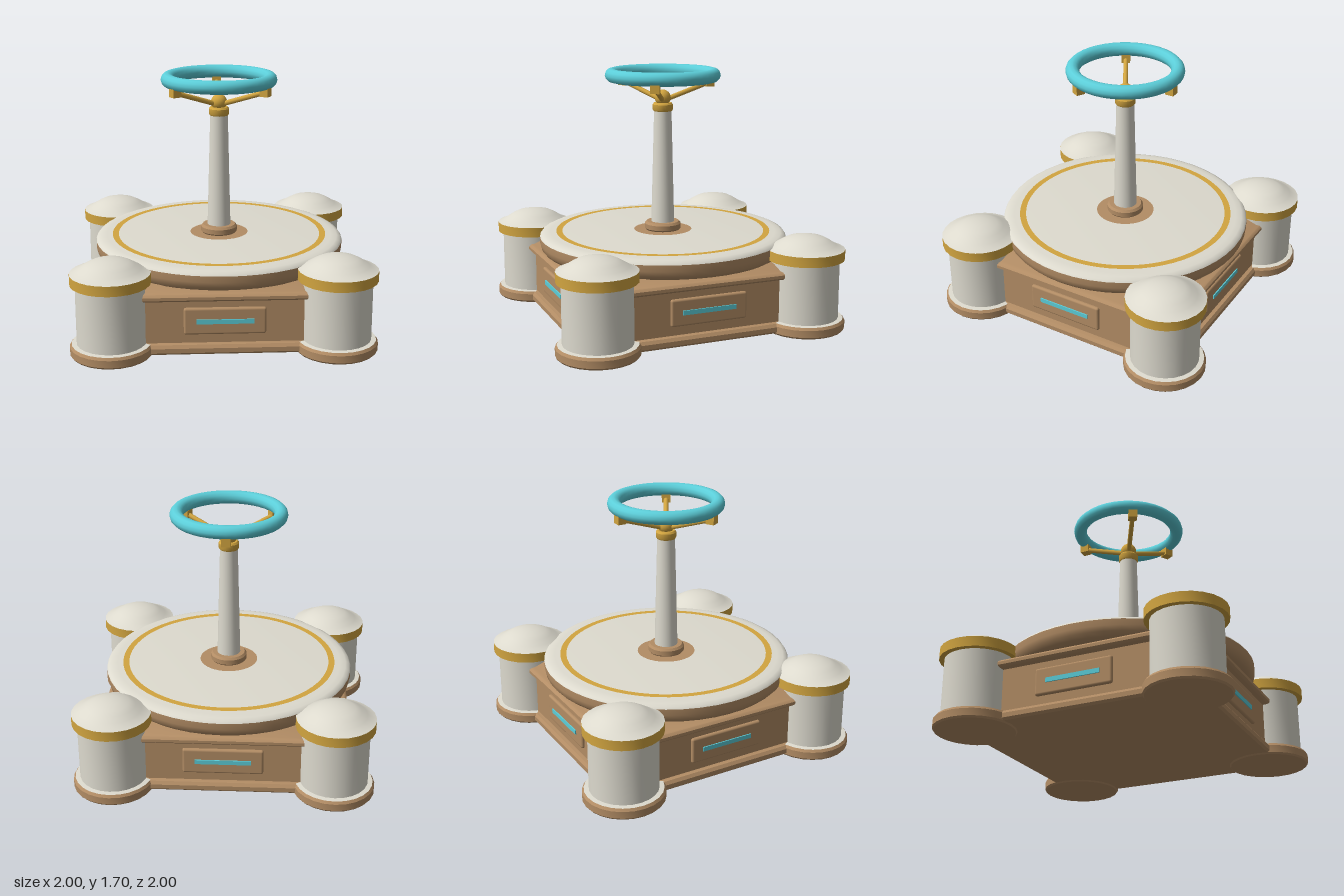
import * as THREE from 'three';
import { toCreasedNormals } from 'three/addons/utils/BufferGeometryUtils.js';
import { RoundedBoxGeometry } from 'three/addons/geometries/RoundedBoxGeometry.js';

const material = (name, color) => {
  const m = new THREE.MeshStandardMaterial({ color });
  m.name = name;
  return m;
};

export function createModel() {
  const white = material('warm white', 0xdddace);
  const brown = material('brown', 0xb38d65);
  const gold = material('gold', 0xd2a540);
  const cyan = material('cyan', 0x5cced9);

  const model = new THREE.Group();
  model.name = 'wheelPedestal';

  const add = (parent, name, geometry, mat, x = 0, y = 0, z = 0) => {
    const mesh = new THREE.Mesh(geometry, mat);
    mesh.name = name;
    mesh.position.set(x, y, z);
    parent.add(mesh);
    return mesh;
  };
  // Turned part from [radius, height] pairs, listed bottom to top
  const turned = (profile, sides, start = 0) => toCreasedNormals(
    new THREE.LatheGeometry(profile.map(([r, y]) => new THREE.Vector2(r, y)), sides, start), 0.6);

  // Square body: a four-sided turned profile with plinth and cornice
  const bodyProfile = [
    [0, 0.01], [0.805, 0.01], [0.82, 0.025], [0.82, 0.055], [0.805, 0.075], [0.78, 0.08],
    [0.78, 0.365], [0.81, 0.372], [0.825, 0.385], [0.825, 0.405], [0.81, 0.42],
    [0.79, 0.425], [0.72, 0.455], [0, 0.455],
  ].map(([r, y]) => [r * Math.SQRT2, y]);
  add(model, 'body', turned(bodyProfile, 4, Math.PI / 4), brown);

  // Raised panel with a light strip on each side of the body
  for (let i = 0; i < 4; i++) {
    const side = new THREE.Group();
    side.name = 'sidePanel';
    side.rotation.y = i * Math.PI / 2;
    add(side, 'panel', new RoundedBoxGeometry(0.53, 0.18, 0.04, 2, 0.015), brown, 0, 0.23, 0.78);
    add(side, 'lightStrip', new THREE.BoxGeometry(0.37, 0.03, 0.009), cyan, 0, 0.23, 0.803);
    model.add(side);
  }

  // Corner posts
  const footGeo = turned([[0, 0], [0.26, 0], [0.27, 0.012], [0.27, 0.06], [0.258, 0.077]], 24);
  const shaftGeo = turned([[0.258, 0.077], [0.226, 0.08], [0.226, 0.48]], 24);
  const bandGeo = turned([[0.22, 0.478], [0.26, 0.48], [0.26, 0.548]], 24);
  const domeGeo = turned([[0.26, 0.548], [0.235, 0.556], [0.2, 0.575], [0.16, 0.6],
    [0.12, 0.62], [0.06, 0.633], [0, 0.637]], 24);
  for (const sx of [-1, 1]) for (const sz of [-1, 1]) {
    const post = new THREE.Group();
    post.name = 'cornerPost';
    post.position.set(sx * 0.728, 0, sz * 0.728);
    add(post, 'foot', footGeo, brown);
    add(post, 'shaft', shaftGeo, white);
    add(post, 'band', bandGeo, gold);
    add(post, 'dome', domeGeo, white);
    model.add(post);
  }

  // Round platform with rounded white top
  add(model, 'platformRim', turned([[0, 0.44], [0.79, 0.44], [0.825, 0.45], [0.847, 0.475],
    [0.855, 0.51], [0.855, 0.552]], 48), brown);
  add(model, 'platformTop', turned([[0.855, 0.552], [0.845, 0.566], [0.82, 0.576],
    [0.78, 0.58], [0, 0.58]], 48), white);
  const ring = add(model, 'goldRing', new THREE.RingGeometry(0.7, 0.742, 64), gold, 0, 0.583, 0);
  const disc = add(model, 'centreDisc', new THREE.CircleGeometry(0.2, 40), brown, 0, 0.583, 0);
  ring.rotation.x = disc.rotation.x = -Math.PI / 2;

  // Steering column
  add(model, 'columnFoot', turned([[0.115, 0.58], [0.125, 0.592], [0.125, 0.625], [0.112, 0.64],
    [0, 0.64]], 32), brown);
  add(model, 'column', turned([[0.08, 0.64], [0.06, 1.42]], 24), white);
  add(model, 'collar', turned([[0.05, 1.405], [0.063, 1.41], [0.069, 1.42], [0.069, 1.455],
    [0.06, 1.467], [0, 1.467]], 24), gold);
  add(model, 'hub', new THREE.SphereGeometry(0.055, 20, 12), gold, 0, 1.5, 0);

  // Wheel rim, three sloping spokes and their brackets
  const rim = add(model, 'wheelRim', new THREE.TorusGeometry(0.348, 0.046, 12, 40), cyan, 0, 1.656, 0);
  rim.rotation.x = Math.PI / 2;
  const reach = 0.32, rise = 0.105;
  for (let i = 0; i < 3; i++) {
    const arm = new THREE.Group();
    arm.name = 'wheelArm';
    arm.rotation.y = i * Math.PI * 2 / 3;
    const spoke = add(arm, 'spoke', new THREE.CylinderGeometry(0.017, 0.017, Math.hypot(reach, rise), 10),
      gold, 0, 1.48 + rise / 2, -reach / 2);
    spoke.rotation.x = -Math.atan2(reach, rise);
    add(arm, 'bracket', new THREE.BoxGeometry(0.06, 0.058, 0.06), gold, 0, 1.594, -0.345);
    model.add(arm);
  }
  return model;
}
